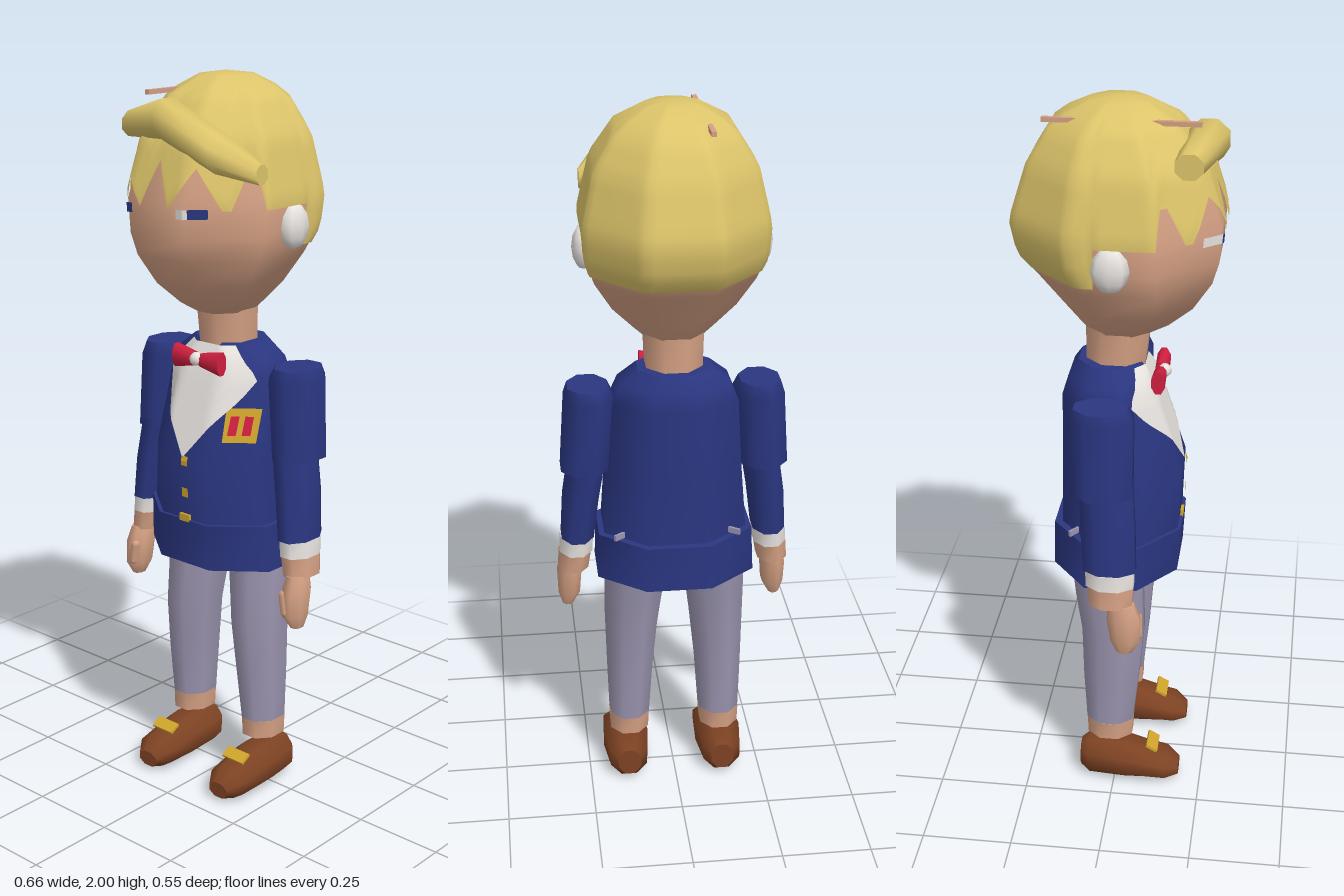
import * as THREE from 'three';

const mat = (name, color, side = THREE.FrontSide) => {
  const m = new THREE.MeshStandardMaterial({ color, side });
  m.name = name;
  return m;
};
const skin = mat('skin', 0xd4a083);
const blond = mat('blond hair', 0xdcc46a, THREE.DoubleSide);
const navy = mat('navy cloth', 0x2a3680);
const grey = mat('grey trousers', 0x9a94ae);
const white = mat('white cloth', 0xe8e4e0);
const red = mat('red', 0xd01f3f);
const gold = mat('gold', 0xd0a52c);
const leather = mat('brown leather', 0x7d4223);

// Octagonal cross-section corners, from +z turning towards +x
const K = Math.SQRT2 - 1;
const OCT = [[K, 1], [1, K], [1, -K], [K, -1], [-K, -1], [-1, -K], [-1, K], [-K, 1]];

function surface(pos, idx) {
  const g = new THREE.BufferGeometry();
  g.setAttribute('position', new THREE.Float32BufferAttribute(pos, 3));
  g.setIndex(idx);
  g.computeVertexNormals();
  return g;
}

// Loft through rings [y, x0, x1, z0, z1], rising in y, with separate end caps
function loft(rings) {
  const pos = [], idx = [], n = 8;
  const put = ([y, x0, x1, z0, z1]) => OCT.forEach(([u, v]) =>
    pos.push((x0 + x1) / 2 + u * (x1 - x0) / 2, y, (z0 + z1) / 2 + v * (z1 - z0) / 2));
  rings.forEach(put);
  for (let i = 0; i < rings.length - 1; i++) {
    for (let j = 0; j < n; j++) {
      const a = i * n + j, b = i * n + (j + 1) % n;
      idx.push(a, b, b + n, a, b + n, a + n);
    }
  }
  const low = rings.length * n, high = low + n;
  put(rings[0]);
  put(rings[rings.length - 1]);
  for (let j = 1; j < n - 1; j++) {
    idx.push(low, low + j + 1, low + j, high, high + j, high + j + 1);
  }
  return surface(pos, idx);
}

// Piecewise-linear lookup in rows sorted by their first value
function sample(rows, t) {
  let i = 0;
  while (i < rows.length - 2 && t > rows[i + 1][0]) i++;
  const p = rows[i], q = rows[i + 1];
  const f = THREE.MathUtils.clamp((t - p[0]) / (q[0] - p[0]), 0, 1);
  return p.map((v, k) => v + (q[k] - v) * f);
}

// Thin sheet lying on the front of a loft, bounded by rows [y, x0, x1]
function frontPatch(rings, rows, lift = 0.007) {
  const pos = [], idx = [], nx = 14, ny = 14;
  const yA = rows[0][0], yB = rows[rows.length - 1][0];
  for (let i = 0; i <= ny; i++) {
    const [y, l, r] = sample(rows, yA + (yB - yA) * i / ny);
    const [, x0, x1, z0, z1] = sample(rings, y);
    for (let j = 0; j <= nx; j++) {
      const x = l + (r - l) * j / nx;
      const u = Math.min(Math.abs(x) / ((x1 - x0) / 2), 1);
      pos.push(x, y, (z0 + z1) / 2 + Math.min(1, Math.SQRT2 - u) * (z1 - z0) / 2 + lift);
      if (i < ny && j < nx) {
        const a = i * (nx + 1) + j, d = a + nx + 1;
        idx.push(a, a + 1, d + 1, a, d + 1, d);
      }
    }
  }
  return surface(pos, idx);
}

const HEAD = [
  [1.37, 0.07, 0.08, -0.08], [1.40, 0.105, 0.13, -0.10], [1.46, 0.165, 0.195, -0.14],
  [1.54, 0.212, 0.245, -0.20], [1.60, 0.23, 0.262, -0.25], [1.69, 0.235, 0.267, -0.268],
  [1.84, 0.203, 0.22, -0.222], [1.94, 0.14, 0.14, -0.16], [1.985, 0.06, 0.06, -0.07],
].map(([y, a, f, b]) => [y, -a, a, b, f]);

const TORSO = [
  [0.78, 0.2, 0.165, -0.155], [0.98, 0.185, 0.172, -0.152], [1.2, 0.17, 0.1, -0.15],
  [1.25, 0.15, 0.08, -0.135], [1.29, 0.1, 0.06, -0.11],
].map(([y, a, f, b]) => [y, -a, a, b, f]);

// Hair shell over the head; its lower edge follows a jagged hairline by angle
function hairShell() {
  const line = [[0, 1.79], [10, 1.67], [25, 1.775], [40, 1.67], [45, 1.67], [55, 1.77],
    [60, 1.77], [65, 1.67], [100, 1.67], [105, 1.56], [180, 1.56]];
  const pos = [], idx = [], n = 72, m = 14;
  for (let i = 0; i <= m; i++) {
    for (let j = 0; j < n; j++) {
      const deg = j * 360 / n, th = deg * Math.PI / 180;
      const start = sample(line, Math.min(deg, 360 - deg))[1];
      const y = start + (1.985 - start) * i / m;
      const [, , a, z0, z1] = sample(HEAD, y);
      const u = Math.abs(Math.sin(th)) / a, v = Math.abs(Math.cos(th)) / ((z1 - z0) / 2);
      const r = 1 / Math.max(u, v, (u + v) / Math.SQRT2) + 0.009;
      pos.push(r * Math.sin(th), y + 0.005, (z0 + z1) / 2 + r * Math.cos(th));
      const p = i * n + j, q = i * n + (j + 1) % n;
      if (i < m) idx.push(p, q, q + n, p, q + n, p + n);
      else idx.push(p, q, (m + 1) * n);
    }
  }
  pos.push(0, 2, 0);
  return surface(pos, idx);
}

export function createModel() {
  const model = new THREE.Group();
  model.name = 'boyInBlazer';
  const add = (name, geo, material, x = 0, y = 0, z = 0, parent = model) => {
    const mesh = new THREE.Mesh(geo, material);
    mesh.name = name;
    mesh.position.set(x, y, z);
    parent.add(mesh);
    return mesh;
  };

  // Head and hair
  add('head', loft(HEAD), skin);
  add('neck', loft([[1.26, -0.075, 0.075, -0.09, 0.065], [1.4, -0.08, 0.08, -0.09, 0.08]]), skin);
  add('hair', hairShell(), blond);
  add('forelock', loft([
    [-0.16, -1.9, -1.835, 0.15, 0.222], [0, -1.945, -1.845, 0.17, 0.275],
    [0.16, -1.865, -1.77, 0.145, 0.25], [0.235, -1.79, -1.74, 0.105, 0.15],
  ]).rotateZ(-Math.PI / 2), blond);
  add('hairPin', new THREE.BoxGeometry(0.013, 0.012, 0.4), skin, -0.08, 1.953, 0.01);
  for (const [x0, x1, m] of [[-0.14, -0.1, white], [-0.1, -0.078, navy], [0.075, 0.105, white], [0.105, 0.14, navy]]) {
    add(m === white ? 'eyeWhite' : 'iris', frontPatch(HEAD, [[1.655, x0, x1], [1.68, x0, x1]]), m);
  }

  // Blazer and shirt
  add('blazer', loft(TORSO), navy);
  add('blazerHem', loft([[0.68, -0.218, 0.218, -0.178, 0.168], [0.81, -0.213, 0.213, -0.175, 0.175]]), navy);
  add('shirtFront', frontPatch(TORSO, [
    [0.99, -0.003, 0.003], [1.15, -0.125, 0.125], [1.205, -0.155, 0.155], [1.285, -0.075, 0.075],
  ]), white);
  add('badge', frontPatch(TORSO, [[1.04, 0.105, 0.175], [1.13, 0.1, 0.175]]), gold);
  for (const x of [0.115, 0.145]) {
    add('badgeMark', frontPatch(TORSO, [[1.06, x, x + 0.018], [1.11, x, x + 0.018]], 0.012), red);
  }
  for (const y of [0.98, 0.89]) {
    add('button', frontPatch(TORSO, [[y - 0.013, 0, 0.022], [y + 0.013, 0, 0.022]], 0.01), gold);
  }
  add('button', new THREE.BoxGeometry(0.035, 0.02, 0.008), gold, 0.005, 0.815, 0.172);

  // Bow tie
  for (const s of [-1, 1]) {
    const rings = [[0.01, -0.018, 0.018, -0.016, 0.016], [0.082, -0.032, 0.032, -0.018, 0.018]];
    add('bowTieWing', loft(rings).rotateZ(-s * Math.PI / 2), red, 0, 1.247, 0.108);
  }
  add('bowTieKnot', new THREE.SphereGeometry(0.019, 8, 6), white, 0, 1.25, 0.118);

  // Limbs and paired parts; rings are given for the +x side and mirrored
  for (const s of [1, -1]) {
    const side = new THREE.Group();
    side.name = s > 0 ? 'leftSide' : 'rightSide';
    model.add(side);
    const flip = rings => rings.map(([y, a, b, z0, z1]) => s > 0 ? [y, a, b, z0, z1] : [y, -b, -a, z0, z1]);
    const part = (name, rings, m) => add(name, loft(flip(rings)), m, 0, 0, 0, side);

    const ear = add('ear', new THREE.SphereGeometry(1, 8, 6), white, s * 0.235, 1.62, 0, side);
    ear.scale.set(0.03, 0.06, 0.05);

    part('upperSleeve', [[1.0, 0.18, 0.312, -0.1, 0.06], [1.21, 0.165, 0.298, -0.11, 0.06],
      [1.243, 0.18, 0.288, -0.095, 0.045]], navy);
    part('lowerSleeve', [[0.78, 0.225, 0.315, -0.068, 0.072], [0.9, 0.21, 0.308, -0.075, 0.068],
      [1.02, 0.19, 0.29, -0.08, 0.06]], navy);
    part('shirtCuff', [[0.735, 0.23, 0.32, -0.06, 0.068], [0.78, 0.227, 0.317, -0.062, 0.068]], white);
    part('wrist', [[0.68, 0.242, 0.325, -0.05, 0.065], [0.735, 0.233, 0.321, -0.055, 0.067]], skin);
    part('hand', [[0.537, 0.285, 0.315, 0.025, 0.065], [0.575, 0.265, 0.326, 0.008, 0.088],
      [0.64, 0.26, 0.328, -0.002, 0.088], [0.685, 0.268, 0.318, 0, 0.07]], skin);
    const thumb = add('thumb', new THREE.CapsuleGeometry(0.014, 0.05, 2, 6), skin, s * 0.283, 0.61, 0.08, side);
    thumb.rotation.z = s * 0.15;

    part('trouserLeg', [[0.2, 0.075, 0.188, -0.08, 0.052], [0.35, 0.065, 0.192, -0.088, 0.068],
      [0.5, 0.05, 0.195, -0.092, 0.08], [0.62, 0.035, 0.195, -0.11, 0.075],
      [0.72, 0.025, 0.195, -0.12, 0.075]], grey);
    part('ankle', [[0.147, 0.078, 0.187, -0.077, 0.05], [0.2, 0.075, 0.189, -0.079, 0.052]], skin);

    // Shoe is lofted from heel to toe
    const shoe = loft(flip([[-0.1, 0.105, 0.17, -0.1, -0.02], [-0.075, 0.085, 0.192, -0.12, -0.002],
      [0.03, 0.073, 0.205, -0.12, 0], [0.15, 0.08, 0.198, -0.085, -0.003],
      [0.187, 0.105, 0.17, -0.055, -0.012]])).rotateX(Math.PI / 2);
    add('shoe', shoe, leather, 0, 0, 0, side);
    const buckle = add('buckle', new THREE.BoxGeometry(0.075, 0.008, 0.035), gold, s * 0.137, 0.112, 0.11, side);
    buckle.rotation.x = 0.5;

    const flap = add('pocketTrim', new THREE.BoxGeometry(0.05, 0.016, 0.008), grey, s * 0.153, 0.822, -0.107, side);
    flap.rotation.y = s * 0.63;
  }
  return model;
}
